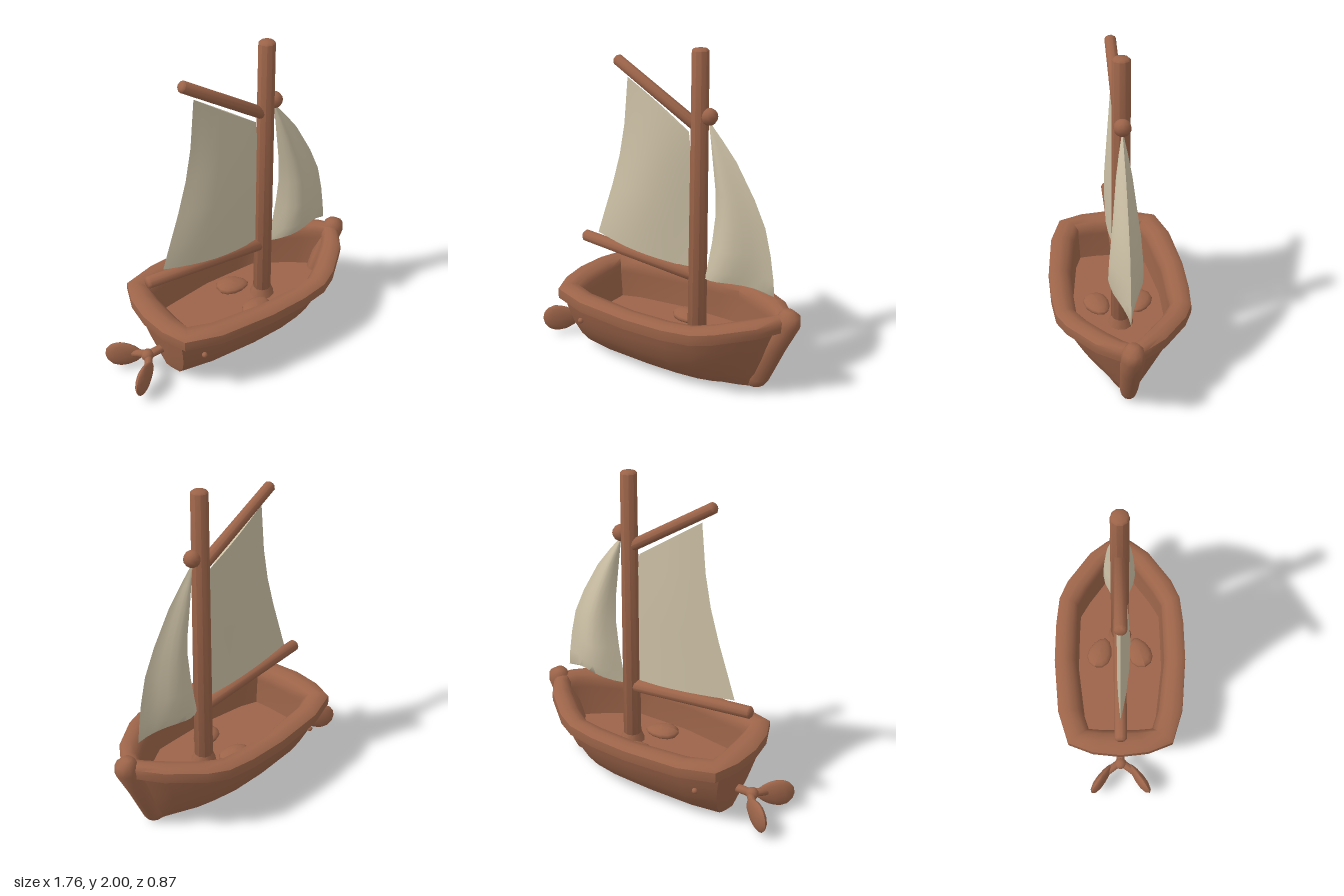
import * as THREE from 'three';
import { toCreasedNormals } from 'three/addons/utils/BufferGeometryUtils.js';

const wood = new THREE.MeshStandardMaterial({ color: 0x9c6449 });
wood.name = 'wood';
const canvas = new THREE.MeshStandardMaterial({ color: 0xcdc1a6 });
canvas.name = 'canvas';

const lerp = THREE.MathUtils.lerp;
const clamp01 = (v) => Math.min(1, Math.max(0, v));

// Skin over closed rings (counter-clockwise from above), with end caps
function loft(rings, crease = 0.8) {
  const n = rings[0].length;
  const pos = rings.flat(2);
  const idx = [];
  for (let i = 0; i < rings.length - 1; i++) {
    for (let j = 0; j < n; j++) {
      const a = i * n + j, b = i * n + (j + 1) % n;
      idx.push(a, b, b + n, a, b + n, a + n);
    }
  }
  [0, rings.length - 1].forEach((r, k) => {
    const mid = [0, 1, 2].map((c) => rings[r].reduce((s, p) => s + p[c], 0) / n);
    const m = pos.length / 3;
    pos.push(...mid);
    for (let j = 0; j < n; j++) {
      const a = r * n + j, b = r * n + (j + 1) % n;
      if (k === 0) idx.push(m, b, a);
      else idx.push(m, a, b);
    }
  });
  const g = new THREE.BufferGeometry();
  g.setAttribute('position', new THREE.Float32BufferAttribute(pos, 3));
  g.setIndex(idx);
  return toCreasedNormals(g, crease);
}

// Half outlines from bow to stern: [x, half width]
const HULL = [[0.78, 0], [0.74, 0.07], [0.65, 0.17], [0.48, 0.3], [0.37, 0.35], [0.2, 0.38],
  [-0.05, 0.385], [-0.4, 0.355], [-0.615, 0.285], [-0.63, 0.15], [-0.64, 0]];
const RIM = [[0.83, 0], [0.78, 0.09], [0.7, 0.2], [0.5, 0.355], [0.38, 0.41], [0.2, 0.43],
  [-0.05, 0.435], [-0.4, 0.405], [-0.62, 0.335], [-0.68, 0.18], [-0.7, 0]];
const INNER = [[0.71, 0], [0.68, 0.04], [0.6, 0.11], [0.45, 0.22], [0.34, 0.285], [0.2, 0.29],
  [-0.05, 0.295], [-0.4, 0.25], [-0.52, 0.21], [-0.53, 0.1], [-0.53, 0]];

const mirrorRing = (half) => [
  ...half.map(([x, y, z]) => [x, y, -z]),
  ...half.slice(1, -1).reverse(),
];

// Deck line rises towards the bow and a little at the stern
const rise = (x) => 0.05 * clamp01((x - 0.2) / 0.55) ** 1.5 + 0.015 * clamp01((-x - 0.3) / 0.4);

function hullGeometry() {
  const rings = [];
  // Outer shell: [height, width factor]
  for (const [y, f] of [[0, 0.3], [0.025, 0.46], [0.1, 0.67], [0.2, 0.84], [0.3, 0.94], [0.39, 1]]) {
    const t = y / 0.39;
    rings.push(mirrorRing(HULL.map(([x, z]) => [
      lerp(-0.56 + ((x + 0.64) / 1.42) * 1.2, x, t), y + rise(x) * t, z * f])));
  }
  // Rounded rim, inner wall and floor: [height, blend from rim to inner edge]
  for (const [y, t] of [[0.39, 0.02], [0.42, 0], [0.455, 0.02], [0.473, 0.2], [0.477, 0.5],
    [0.465, 0.8], [0.43, 1], [0.38, 1]]) {
    rings.push(mirrorRing(RIM.map(([x, z], i) => [
      lerp(x, INNER[i][0], t), y + rise(x), lerp(z, INNER[i][1], t)])));
  }
  rings.push(mirrorRing(INNER.map(([x, z]) => [x * 0.97, 0.22, z * 0.96])));
  return loft(rings);
}

// Rounded post along the bow: [y, centre x, radius x, radius z]
function stemGeometry() {
  const rows = [[0, 0.6, 0.04, 0.03], [0.015, 0.61, 0.06, 0.045], [0.06, 0.62, 0.08, 0.055],
    [0.3, 0.72, 0.08, 0.065], [0.47, 0.8, 0.08, 0.07], [0.53, 0.81, 0.065, 0.06], [0.56, 0.8, 0.03, 0.03]];
  return loft(rows.map(([y, c, rx, rz]) => Array.from({ length: 10 }, (_, j) => {
    const a = (j / 10) * Math.PI * 2;
    return [c + rx * Math.cos(a), y, -rz * Math.sin(a)];
  })), 1.2);
}

// Sail from rows of [front x, y, aft x, y, bulge +z, bulge -z, mid lift]
function sailGeometry(rows, bias) {
  const N = 8;
  return loft(rows.map(([xf, yf, xa, ya, wp, wm, lift = 0]) => {
    const point = (j, w) => {
      const t = j / N;
      return [lerp(xf, xa, t), lerp(yf, ya, t) + lift * Math.sin(Math.PI * t),
        w * Math.sin(Math.PI * t ** bias)];
    };
    const ring = [];
    for (let j = 0; j <= N; j++) ring.push(point(j, -wm));
    for (let j = N - 1; j > 0; j--) ring.push(point(j, wp));
    return ring;
  }), 1);
}

// Round spar between two points, with bevelled ends
function spar(a, b, ra, rb) {
  const A = new THREE.Vector3(...a), B = new THREE.Vector3(...b);
  const len = A.distanceTo(B), e = 0.012;
  const profile = [[0, 0], [ra - e, 0], [ra, e], [rb, len - e], [rb - e, len], [0, len]];
  const g = new THREE.LatheGeometry(profile.map((p) => new THREE.Vector2(...p)), 10);
  const dir = B.clone().sub(A).normalize();
  g.applyQuaternion(new THREE.Quaternion().setFromUnitVectors(new THREE.Vector3(0, 1, 0), dir));
  g.translate(...a);
  return toCreasedNormals(g, 0.9);
}

// Flattened paddle, narrowing towards +x
function paddle(lx, ly, lz, taper) {
  const g = new THREE.SphereGeometry(1, 12, 8);
  const p = g.attributes.position;
  for (let i = 0; i < p.count; i++) {
    const k = 1 - taper * p.getX(i);
    p.setXYZ(i, p.getX(i) * lx, p.getY(i) * ly * k, p.getZ(i) * lz * k);
  }
  g.computeVertexNormals();
  return g;
}

export function createModel() {
  const boat = new THREE.Group();
  boat.name = 'sailboat';
  const add = (name, geometry, material = wood, at = [0, 0, 0]) => {
    const m = new THREE.Mesh(geometry, material);
    m.name = name;
    m.position.set(...at);
    boat.add(m);
    return m;
  };

  add('hull', hullGeometry());
  add('stemPost', stemGeometry());

  // Mast and spars
  add('mast', spar([0.2, 0.22, 0], [0.2, 2, 0], 0.06, 0.05));
  add('mastFoot', new THREE.CylinderGeometry(0.055, 0.085, 0.08, 10), wood, [0.2, 0.25, 0]);
  add('gaff', spar([0.2, 1.55, 0], [-0.37, 1.892, 0], 0.036, 0.034));
  add('boom', spar([0.2, 0.628, 0], [-0.655, 0.71, 0], 0.044, 0.038));
  add('mastKnob', new THREE.SphereGeometry(0.05, 10, 8), wood, [0.262, 1.625, 0]);

  // Sails
  add('mainSail', sailGeometry([
    [0.14, 0.67, -0.54, 0.755, 0.05, 0.02],
    [0.14, 0.9, -0.49, 0.9, 0.06, 0.02],
    [0.14, 1.1, -0.42, 1.1, 0.06, 0.02],
    [0.14, 1.3, -0.36, 1.3, 0.05, 0.02],
    [0.14, 1.43, -0.32, 1.5, 0.04, 0.015],
    [0.13, 1.52, -0.29, 1.79, 0.02, 0.01],
  ], 1), canvas);
  add('jib', sailGeometry([
    [0.71, 0.62, 0.25, 0.62, 0.085, 0.085, 0.055],
    [0.7, 0.72, 0.265, 0.7, 0.1, 0.105, 0.03],
    [0.675, 0.87, 0.295, 0.87, 0.095, 0.1],
    [0.635, 1.03, 0.315, 1.05, 0.08, 0.085],
    [0.56, 1.19, 0.31, 1.2, 0.065, 0.065],
    [0.44, 1.39, 0.29, 1.36, 0.045, 0.045],
    [0.35, 1.5, 0.275, 1.48, 0.025, 0.025],
    [0.27, 1.59, 0.26, 1.59, 0.004, 0.004],
  ], 1.5), canvas);

  // Stern propeller
  add('propellerShaft', spar([-0.56, 0.15, 0], [-0.7, 0.15, 0], 0.027, 0.027));
  add('propellerHub', new THREE.SphereGeometry(0.04, 10, 8), wood, [-0.69, 0.15, 0]);
  for (const s of [1, -1]) {
    const blade = add('propellerBlade', paddle(0.12, 0.09, 0.032, 0.25), wood, [-0.785, 0.118, s * 0.125]);
    blade.rotation.y = s * 0.62;
    const root = add('bladeRoot', spar([-0.68, 0.15, 0], [-0.75, 0.13, s * 0.1], 0.025, 0.025));
    root.castShadow = false;

    // Rounded seats by the mast and small pegs on the hull sides
    const seat = add('seat', paddle(0.11, 0.035, 0.08, 0.2), wood, [0.055, 0.255, s * 0.135]);
    seat.rotation.y = s * 0.35;
    add('hullPeg', new THREE.SphereGeometry(0.018, 8, 6), wood, [-0.47, 0.27, s * 0.31]);
  }
  return boat;
}
